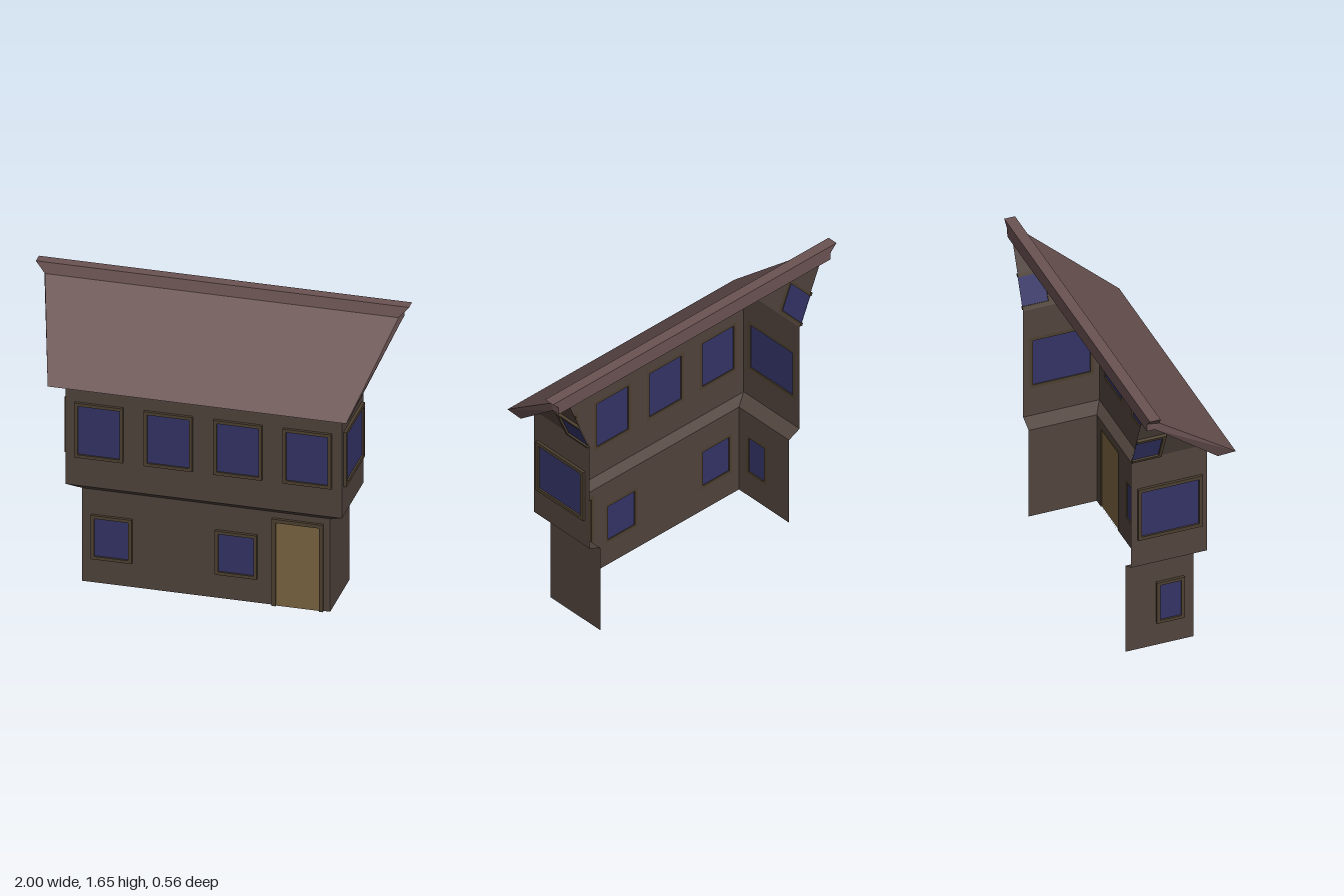
import * as THREE from 'three';

const mat = (name, color) => {
  const m = new THREE.MeshStandardMaterial({ color, side: THREE.DoubleSide, flatShading: true });
  m.name = name;
  return m;
};

export function createModel() {
  const plaster = mat('wall brown', 0x50433c);
  const timber = mat('frame brown', 0x4c3f30);
  const glass = mat('window blue', 0x333366);
  const wood = mat('door wood', 0x7a6341);
  const tile = mat('roof red brown', 0x6a5252);

  const house = new THREE.Group();
  house.name = 'house';
  const BACK = -0.28;

  const add = (parent, name, geometry, material) => {
    const mesh = new THREE.Mesh(geometry, material);
    mesh.name = name;
    parent.add(mesh);
    return mesh;
  };
  const path = (points, Type) => new Type(points.map(([x, y]) => new THREE.Vector2(x, y)));

  // Framed opening in the local xy plane of a wall; skip names the frame bars left out
  function addOpening(wall, { name = 'window', rect: [x0, x1, y0, y1], border = 0.018, skip = '', pane = glass }) {
    const g = new THREE.Group();
    g.name = name;
    wall.add(g);
    const depth = 0.016;
    const bars = {
      left: [x0, x0 + border, y0, y1],
      right: [x1 - border, x1, y0, y1],
      top: [x0, x1, y1 - border, y1],
      bottom: [x0, x1, y0, y0 + border],
    };
    for (const [side, [a, b, c, d]] of Object.entries(bars)) {
      if (side === skip) continue;
      add(g, name + 'Frame', new THREE.BoxGeometry(b - a, d - c, depth), timber)
        .position.set((a + b) / 2, (c + d) / 2, depth / 2);
    }
    add(g, name + 'Pane', new THREE.PlaneGeometry(x1 - x0, y1 - y0), pane)
      .position.set((x0 + x1) / 2, (y0 + y1) / 2, 0.006);
  }

  // Flat wall with cut openings
  function addWall(name, outline, openings) {
    const g = new THREE.Group();
    g.name = name;
    const shape = path(outline, THREE.Shape);
    for (const o of openings) {
      const [a, b, c, d] = o.rect;
      const e = 0.001;
      shape.holes.push(path([[a + e, c + e], [a + e, d - e], [b - e, d - e], [b - e, c + e]], THREE.Path));
      addOpening(g, o);
    }
    add(g, name + 'Panel', new THREE.ShapeGeometry(shape), plaster);
    house.add(g);
    return g;
  }

  const box = (x0, x1, y0, y1) => [[x0, y0], [x1, y0], [x1, y1], [x0, y1]];

  // Side wall given in (z, y); s = 1 is the left side, lean tips it outwards
  function addSide(name, s, x, y, lean, outline, openings) {
    const flip = ({ rect: [a, b, c, d], skip, ...rest }) => ({
      ...rest,
      rect: s > 0 ? [-b, -a, c, d] : [a, b, c, d],
      skip: skip === 'back' ? (s > 0 ? 'right' : 'left') : skip,
    });
    const g = addWall(name, outline.map(([z, v]) => [-s * z, v]), openings.map(flip));
    g.rotation.order = 'YXZ';
    g.rotation.set(lean, s * Math.PI / 2, 0);
    g.position.set(s * x, y, 0);
  }

  // Ground floor
  const LX = 0.665, LZ = 0.1, UX = 0.74, UZ = 0.145;
  addWall('groundFrontWall', box(-LX, LX, 0, 0.54), [
    { rect: [-0.615, -0.395, 0.14, 0.395] },
    { rect: [0.05, 0.275, 0.14, 0.395] },
    { name: 'door', rect: [0.355, 0.63, 0, 0.505], border: 0.021, skip: 'bottom', pane: wood },
  ]).position.z = LZ;
  addSide('groundLeftWall', 1, LX, 0, 0, box(BACK, LZ, 0, 0.54), []);
  addSide('groundRightWall', -1, LX, 0, 0, box(BACK, LZ, 0, 0.54),
    [{ rect: [-0.11, 0.045, 0.14, 0.395] }]);

  // Upper floor
  addWall('upperFrontWall', box(-UX, UX, 0.575, 1.24),
    [-0.56, -0.188, 0.184, 0.556].map((x) => ({ rect: [x - 0.13, x + 0.13, 0.743, 1.06] }))).position.z = UZ;
  const lean = Math.atan2(0.136, 0.325), k = 1 / Math.cos(lean);
  for (const s of [1, -1]) {
    const side = s > 0 ? 'Left' : 'Right';
    addSide('upper' + side + 'Wall', s, UX, 0, 0, box(BACK, UZ, 0.575, 1.24),
      [{ rect: [-0.245, 0.115, 0.743, 1.06], border: 0.02 }]);
    // Gable tipping outwards, with a window cut by the open back
    addSide('gable' + side, s, UX, 1.24, lean,
      [[UZ, 0], [-0.235, 0.33 * k], [BACK, 0.33 * k], [BACK, 0]],
      [{ name: 'gableWindow', rect: [BACK, -0.117, 0.006, 0.2], skip: 'back' }]);
  }

  // Quads and triangles to a flat-shaded geometry
  function facets(polygons) {
    const pos = [];
    for (const p of polygons)
      for (let i = 1; i < p.length - 1; i++) pos.push(...p[0], ...p[i], ...p[i + 1]);
    const g = new THREE.BufferGeometry();
    g.setAttribute('position', new THREE.Float32BufferAttribute(pos, 3));
    g.computeVertexNormals();
    return g;
  }

  // Sloping overhang between the floors
  const ring = (x, y, z) => [[x, y, BACK], [x, y, z], [-x, y, z], [-x, y, BACK]];
  const low = ring(LX, 0.54, LZ), high = ring(UX, 0.575, UZ);
  add(house, 'overhang', facets([0, 1, 2].map((i) => [low[i], high[i], high[i + 1], low[i + 1]])), plaster);

  // Solid from a (z, y) section whose half width varies per point
  function flaredPrism(section) {
    const n = section.length;
    const at = (i, s) => { const [z, y, w] = section[i % n]; return [s * w, y, z]; };
    const polys = [];
    for (let i = 0; i < n; i++) polys.push([at(i, 1), at(i + 1, 1), at(i + 1, -1), at(i, -1)]);
    for (let i = 1; i < n - 1; i++) {
      polys.push([at(0, 1), at(i + 1, 1), at(i, 1)]);
      polys.push([at(0, -1), at(i, -1), at(i + 1, -1)]);
    }
    return facets(polys);
  }

  // Roof slope and ridge cap
  add(house, 'roof', flaredPrism([
    [-0.235, 1.57, 0.958], [0.18, 1.195, 0.8], [0.28, 1.2, 0.8],
    [-0.22, 1.608, 0.952], [BACK, 1.625, 0.96], [BACK, 1.57, 0.958],
  ]), tile);
  add(house, 'ridgeCap', flaredPrism([
    [BACK, 1.61, 0.955], [-0.205, 1.596, 0.948], [-0.22, 1.655, 1], [BACK, 1.655, 1],
  ]), tile);

  return house;
}
